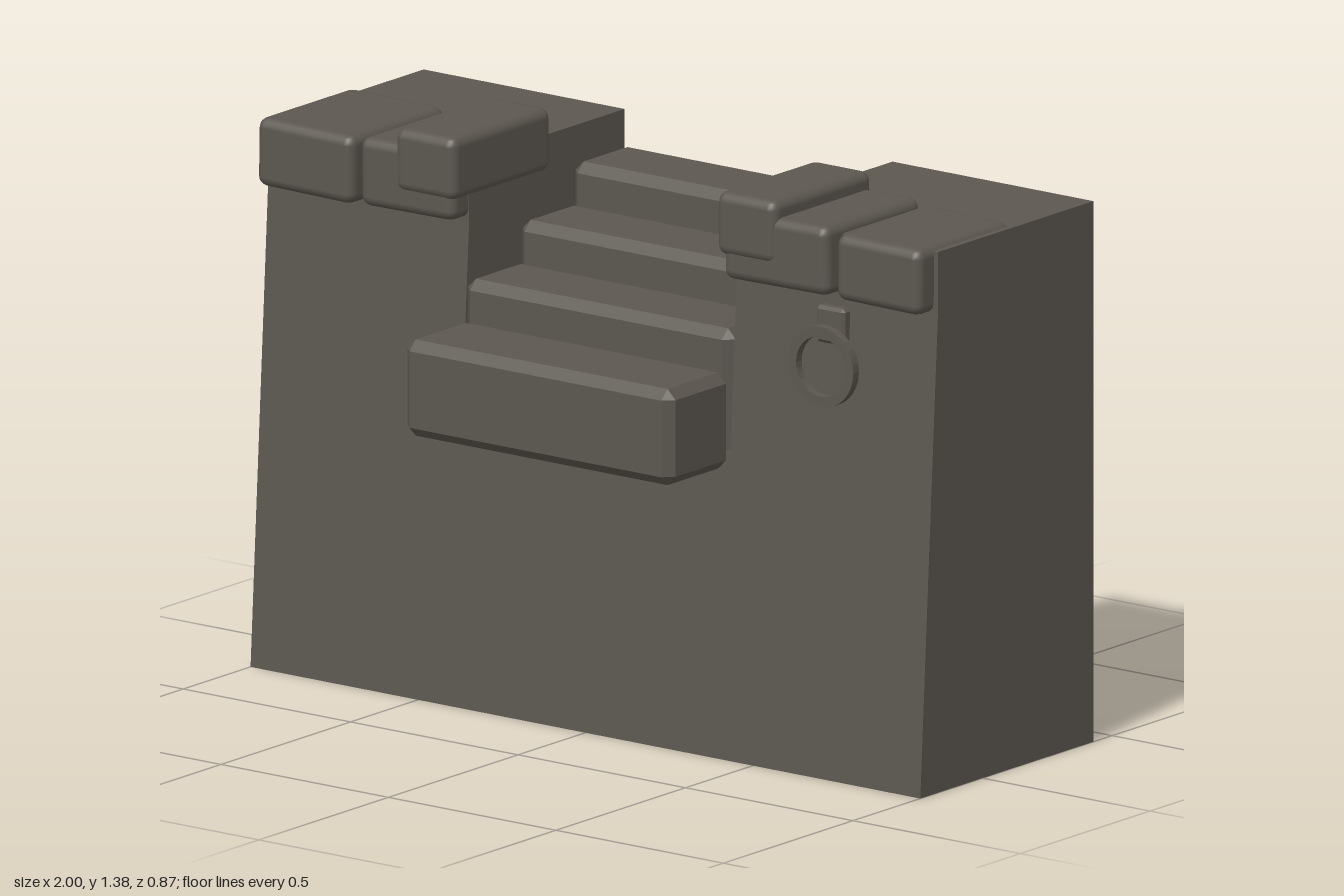
import * as THREE from 'three';
import { RoundedBoxGeometry } from 'three/addons/geometries/RoundedBoxGeometry.js';
import { ConvexGeometry } from 'three/addons/geometries/ConvexGeometry.js';

export function createModel() {
  const group = new THREE.Group();
  const stone = new THREE.MeshStandardMaterial({ color: 0x5c5750 });
  stone.name = 'dark stone';

  const add = (name, geometry, x = 0, y = 0, z = 0) => {
    const mesh = new THREE.Mesh(geometry, stone);
    mesh.name = name;
    mesh.position.set(x, y, z);
    group.add(mesh);
    return mesh;
  };

  // Wall section: side profile [z, y] swept from x0 to x1
  const wall = (name, profile, x0, x1) => {
    const shape = new THREE.Shape(profile.map(([z, y]) => new THREE.Vector2(z, y)));
    const geo = new THREE.ExtrudeGeometry(shape, { depth: x1 - x0, bevelEnabled: false });
    geo.rotateY(-Math.PI / 2);
    add(name, geo, x1);
  };

  // Block with every edge cut at 45 degrees
  const chamferBox = (w, h, d, c) => {
    const points = [];
    for (const i of [-1, 1]) for (const j of [-1, 1]) for (const k of [-1, 1]) {
      const [x, y, z] = [w / 2, h / 2, d / 2];
      points.push(
        new THREE.Vector3(i * x, j * (y - c), k * (z - c)),
        new THREE.Vector3(i * (x - c), j * y, k * (z - c)),
        new THREE.Vector3(i * (x - c), j * (y - c), k * z));
    }
    return new ConvexGeometry(points);
  };

  // Two tall piers with a battered front, and the low wall between them
  const pier = [[-0.428, 0], [0.24, 0], [0.172, 1.17], [0.172, 1.32], [-0.428, 1.32]];
  wall('rightPier', pier, -1, -0.4);
  wall('leftPier', pier, 0.4, 1);
  wall('middleWall', [[-0.428, 0], [0.24, 0], [0.197, 0.74], [-0.428, 0.74]], -0.4, 0.4);

  // Four steps rising to the back, all starting at the same level
  [[0.19, 0.433, 0.935], [-0.02, 0.2, 1.035], [-0.225, -0.01, 1.135], [-0.432, -0.215, 1.235]]
    .forEach(([back, front, top], i) => {
      add('step' + (i + 1), chamferBox(0.8, top - 0.7, front - back, 0.024),
        0, (top + 0.7) / 2, (front + back) / 2);
    });

  // Cap stones: x range, y range, z range, slight tilt
  const caps = [
    ['rightOuterCap', -0.992, -0.705, 1.172, 1.34, -0.135, 0.233, -0.015],
    ['rightInnerCap', -0.682, -0.402, 1.177, 1.345, -0.13, 0.235, 0.01],
    ['rightTopCap', -0.572, -0.392, 1.23, 1.385, -0.14, 0.242, 0],
    ['leftTopCap', 0.388, 0.566, 1.23, 1.385, -0.14, 0.242, 0],
    ['leftInnerCap', 0.402, 0.716, 1.173, 1.343, -0.135, 0.235, 0.012],
    ['leftOuterCap', 0.735, 0.988, 1.17, 1.332, -0.13, 0.23, -0.012],
  ];
  for (const [name, x0, x1, y0, y1, z0, z1, tilt] of caps) {
    const geo = new RoundedBoxGeometry(x1 - x0, y1 - y0, z1 - z0, 2, 0.025);
    add(name, geo, (x0 + x1) / 2, (y0 + y1) / 2, (z0 + z1) / 2).rotation.z = tilt;
  }

  // Hanging ring with a flat section, and its bracket
  const ring = new THREE.Shape().absarc(0, 0, 0.098, 0, Math.PI * 2);
  ring.holes.push(new THREE.Path().absarc(0, 0, 0.073, 0, Math.PI * 2, true));
  add('ring', new THREE.ExtrudeGeometry(ring, { depth: 0.022, bevelEnabled: false, curveSegments: 16 }),
    0.695, 1.003, 0.209);
  add('ringBracket', chamferBox(0.086, 0.09, 0.04, 0.008), 0.697, 1.097, 0.18);

  return group;
}
